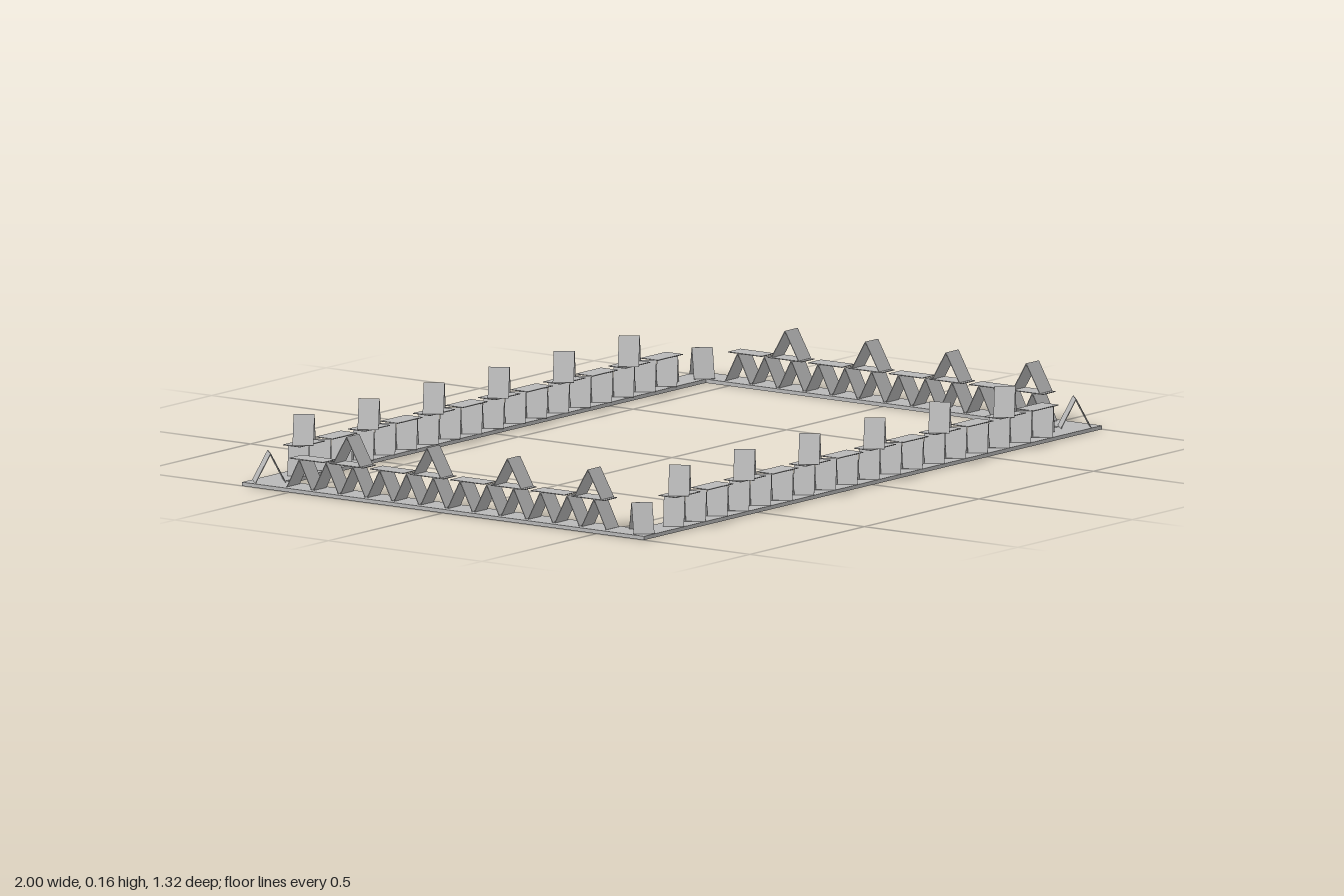
import * as THREE from 'three';

const CARD_W = 0.055, CARD_T = 0.002, BASE_H = 0.01, ROOF_Y = 0.087;

export function createModel() {
  const grey = new THREE.MeshStandardMaterial({ color: 0xb8b8b8 });
  grey.name = 'grey';
  const model = new THREE.Group();
  model.name = 'cardHouseBorder';

  // Two cards leaning together; the ridge runs along z before turning by yaw
  function tent(name, halfBase, height, x, y, z, yaw) {
    const group = new THREE.Group();
    group.name = name;
    const geo = new THREE.BoxGeometry(CARD_T, Math.hypot(halfBase, height), CARD_W);
    for (const side of [-1, 1]) {
      const card = new THREE.Mesh(geo, grey);
      card.name = 'leaningCard';
      card.position.set(side * halfBase / 2, height / 2, 0);
      card.rotation.z = side * Math.atan2(halfBase, height);
      group.add(card);
    }
    group.position.set(x, y, z);
    group.rotation.y = yaw;
    model.add(group);
  }
  const lowerTent = (x, z, yaw) => tent('lowerTent', 0.04, ROOF_Y - BASE_H, x, BASE_H, z, yaw);
  const upperTent = (x, z, yaw) => tent('upperTent', 0.044, 0.075, x, ROOF_Y + 0.001, z, yaw);

  function flatCard(x, z, alongX) {
    const card = new THREE.Mesh(
      new THREE.BoxGeometry(alongX ? 0.11 : CARD_W, CARD_T, alongX ? CARD_W : 0.11), grey);
    card.name = 'flatCard';
    card.position.set(x, ROOF_Y, z);
    model.add(card);
  }

  // Flat rectangular base frame
  const outline = (w, d, T) => new T([[-w, -d], [w, -d], [w, d], [-w, d]].map(p => new THREE.Vector2(...p)));
  const frameShape = outline(1, 0.655, THREE.Shape);
  frameShape.holes.push(outline(0.918, 0.575, THREE.Path));
  const frame = new THREE.Mesh(
    new THREE.ExtrudeGeometry(frameShape, { depth: BASE_H, bevelEnabled: false }).rotateX(-Math.PI / 2), grey);
  frame.name = 'baseFrame';
  model.add(frame);

  // Front and back rows, with tents turned at an angle
  const yaw = 0.58;
  for (const z of [-0.613, 0.611]) {
    for (let i = 0; i < 18; i++) lowerTent(-0.808 + i * 0.0947, z, yaw);
    for (let i = 0; i < 12; i++) {
      const x = -0.785 + i * 0.142;
      flatCard(x, z, true);
      if (i % 2 === 0) upperTent(x, z, yaw);
    }
  }

  // Left and right rows, with ridges straight across
  for (const x of [-0.957, 0.957]) {
    for (let i = 0; i < 12; i++) lowerTent(x, 0.48 - i * 0.0873, Math.PI / 2);
    for (let i = 0; i < 8; i++) {
      const z = 0.46 - i * 0.131;
      flatCard(x, z, false);
      if (i % 2 === 0) upperTent(x, z, Math.PI / 2);
    }
  }

  // Single tents on the corners
  for (const sx of [-1, 1]) for (const sz of [-1, 1]) {
    lowerTent(sx * 0.945, sz * 0.607, sx * sz > 0 ? -Math.PI / 4 : Math.PI / 4);
  }
  return model;
}
